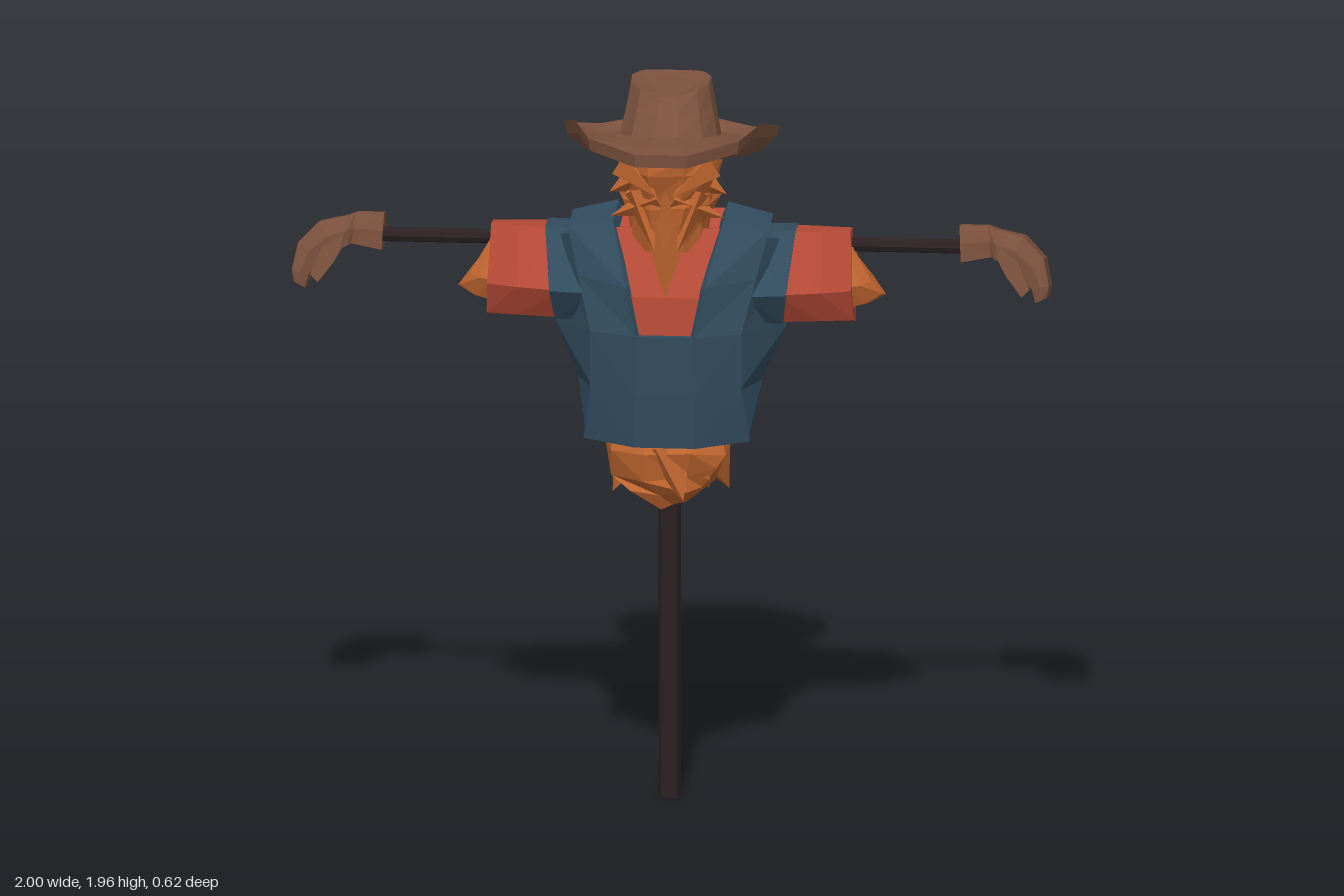
import * as THREE from 'three';

const mat = (name, color) =>
  new THREE.MeshStandardMaterial({ name, color, flatShading: true, side: THREE.DoubleSide });

let seed = 7;
const rnd = () => (seed = (seed * 16807) % 2147483647) / 2147483647;
const jit = (a) => (rnd() - 0.5) * 2 * a;

// Skin a list of equal-length cross-sections, cap both ends, and face it outward
function loft(rings) {
  const tris = [];
  const n = rings[0].length;
  for (let i = 0; i < rings.length - 1; i++) {
    for (let j = 0; j < n; j++) {
      const k = (j + 1) % n;
      const a = rings[i][j], b = rings[i][k], c = rings[i + 1][k], d = rings[i + 1][j];
      tris.push([a, b, c], [a, c, d]);
    }
  }
  const cap = (ring, flip) => {
    const mid = [0, 1, 2].map((c) => ring.reduce((s, p) => s + p[c], 0) / n);
    ring.forEach((p, j) => {
      const q = ring[(j + 1) % n];
      tris.push(flip ? [q, p, mid] : [p, q, mid]);
    });
  };
  cap(rings[0], true);
  cap(rings[rings.length - 1], false);
  const v = (p) => new THREE.Vector3(...p);
  const volume = tris.reduce((s, [a, b, c]) => s + v(a).dot(v(b).cross(v(c))), 0);
  if (volume < 0) tris.forEach((t) => t.reverse());
  const g = new THREE.BufferGeometry();
  g.setAttribute('position', new THREE.Float32BufferAttribute(tris.flat(2), 3));
  g.computeVertexNormals();
  return g;
}

// Elliptical section at height y, optionally ragged
const oval = (y, rx, rz, cz, n, rough = 0) =>
  Array.from({ length: n }, (_, i) => {
    const a = ((i + 0.5) / n) * Math.PI * 2;
    return [Math.sin(a) * rx + jit(rough), y + jit(rough), cz + Math.cos(a) * rz + jit(rough)];
  });

export function createModel() {
  const root = new THREE.Group();
  root.name = 'scarecrow';
  const leather = mat('leather brown', 0x7c523e);
  const straw = mat('straw orange', 0xc06630);
  const shirt = mat('shirt red', 0xb64a36);
  const denim = mat('denim blue', 0x324d5f);
  const wood = mat('dark wood', 0x2b2123);

  const add = (name, geo, m) => {
    const mesh = new THREE.Mesh(geo, m);
    mesh.name = name;
    root.add(mesh);
    return mesh;
  };

  // Straw tuft: a four-sided spike from a to b
  const tuft = (name, a, b, r) => {
    const A = new THREE.Vector3(...a), B = new THREE.Vector3(...b);
    const dir = B.clone().sub(A);
    const mesh = add(name, new THREE.ConeGeometry(r, dir.length(), 4), straw);
    mesh.position.copy(A).addScaledVector(dir, 0.5);
    mesh.quaternion.setFromUnitVectors(new THREE.Vector3(0, 1, 0), dir.normalize());
  };

  // Wooden cross
  add('pole', new THREE.CylinderGeometry(0.03, 0.03, 1.5, 8), wood).position.y = 0.75;
  const bar = add('crossbar', new THREE.CylinderGeometry(0.02, 0.02, 1.7, 8), wood);
  bar.rotation.z = Math.PI / 2;
  bar.position.set(0, 1.5, -0.08);

  // Torso levels: front inner edge, front strap edge, side, back strap edge, back inner edge
  const levels = [
    [[0.08, 1.0, 0.165], [0.22, 1.005, 0.1], [0.22, 0.985, -0.01], [0.19, 0.97, -0.12], [0.07, 0.97, -0.15]],
    [[0.08, 1.15, 0.18], [0.2, 1.15, 0.13], [0.25, 1.14, -0.02], [0.2, 1.16, -0.14], [0.07, 1.18, -0.18]],
    [[0.075, 1.31, 0.188], [0.2, 1.31, 0.14], [0.315, 1.285, -0.04], [0.21, 1.34, -0.16], [0.075, 1.38, -0.2]],
    [[0.105, 1.44, 0.17], [0.235, 1.45, 0.1], [0.315, 1.44, -0.04], [0.23, 1.48, -0.17], [0.11, 1.49, -0.21]],
    [[0.145, 1.59, 0.07], [0.265, 1.57, 0.05], [0.32, 1.54, -0.04], [0.265, 1.57, -0.11], [0.145, 1.595, -0.13]],
  ];
  const inset = (p, k) => [p[0] * k, p[1], -0.02 + (p[2] + 0.02) * k];
  const flip = (p, s) => [p[0] * s, p[1], p[2]];

  // Red shirt body, seen only between the straps
  add('shirt', loft(levels.slice(2).map((l, i) => {
    const half = l.map((p, j) => inset(p, j % 4 === 0 ? 0.93 : 0.82))
      .map((p) => [p[0], p[1] - (i === 2 ? 0.015 : 0.03), p[2]]);
    return [...half, ...half.map((p) => flip(p, -1)).reverse()];
  })), shirt);

  // Central bib panels, front and back, up to the neckline
  for (const [name, c] of [['frontBib', 0], ['backBib', 4]]) {
    add(name, loft(levels.slice(0, 3).map((l) => {
      const o = l[c], n = inset(o, 0.88);
      return [o, flip(o, -1), flip(n, -1), n];
    })), denim);
  }

  for (const s of [1, -1]) {
    const side = s > 0 ? 'left' : 'right';
    const m = (p) => flip(p, s);

    // Strap running from the front hem over the shoulder to the back hem
    const path = [
      ...levels.map((l) => [l[0], l[1]]),
      ...levels.slice().reverse().map((l) => [l[4], l[3]]),
    ];
    add(side + 'Strap', loft(path.map(([a, b]) => {
      const thick = (p) => {
        const q = inset(p, 0.9);
        return [q[0], p[1] > 1.55 ? p[1] - 0.03 : p[1], q[2]];
      };
      return [a, b, thick(b), thick(a)].map(m);
    })), denim);

    // Side of the overalls
    add(side + 'SidePanel', loft(levels.map((l, i) =>
      [l[1], l[2], l[3]].map((p) => {
        const q = inset(p, 0.97);
        return m([q[0], i === 4 ? p[1] - 0.02 : p[1], q[2]]);
      }))), denim);

    // Six-sided arm section: height factor, depth factor, outward slant towards the bottom
    const arm = (x, ky, kz, slant = 0) =>
      [[1.55, -0.02], [1.4, 0.08], [1.31, 0.03], [1.285, -0.09], [1.4, -0.15], [1.54, -0.13]]
        .map(([y, z]) => m([x + (1.42 - y) * slant, 1.42 + (y - 1.42) * ky, -0.07 + (z + 0.07) * kz]));
    add(side + 'Armhole', loft([arm(0.2, 0.95, 1.15), arm(0.315, 1.0, 1.02, -0.12)]), denim);
    add(side + 'Sleeve', loft([arm(0.28, 0.97, 1.0), arm(0.4, 0.97, 0.82), arm(0.48, 0.98, 0.62, 0.04)]), shirt);

    // Straw poking out of the sleeve
    add(side + 'SleeveStuffing',
      loft([arm(0.46, 0.72, 0.55), arm(0.5, 0.6, 0.45, 0.15), arm(0.525, 0.4, 0.25, 0.3)]), straw);
    for (let i = 0; i < 3; i++) {
      const y = 1.45 - i * 0.035;
      tuft(side + 'SleeveStraw', m([0.44, y + 0.01, -0.07 + jit(0.03)]),
        m([0.51 + i * 0.015, y - 0.015, -0.07 + jit(0.03)]), 0.05);
    }

    // Glove: [x top, y top, x bottom, y bottom, half depth], rolled slightly about the arm
    const roll = ([x, y, z]) => m([x, y + 0.25 * (z + 0.09), z - 0.25 * (y - 1.46)]);
    const glove = [
      [0.76, 1.55, 0.765, 1.455, 0.05], [0.835, 1.55, 0.845, 1.47, 0.05],
      [0.86, 1.54, 0.855, 1.465, 0.065], [0.93, 1.525, 0.885, 1.45, 0.075],
      [0.985, 1.47, 0.93, 1.42, 0.07], [1.0, 1.4, 0.955, 1.39, 0.068], [0.995, 1.37, 0.965, 1.355, 0.06],
    ];
    add(side + 'Glove', loft(glove.map(([x1, y1, x2, y2, d]) => [
      [x1, y1, -0.09 + d * 0.85], [(x1 + x2) / 2, (y1 + y2) / 2, -0.09 + d], [x2, y2, -0.09 + d * 0.85],
      [x2, y2, -0.09 - d * 0.85], [(x1 + x2) / 2, (y1 + y2) / 2, -0.09 - d], [x1, y1, -0.09 - d * 0.85],
    ].map(roll))), leather);
    const thumb = [[0.86, 1.5, 0.87, 1.455], [0.92, 1.46, 0.89, 1.42], [0.95, 1.39, 0.93, 1.37]];
    add(side + 'Thumb', loft(thumb.map(([x1, y1, x2, y2]) => [
      [x1, y1, -0.01], [x2, y2, -0.01], [x2, y2, -0.05], [x1, y1, -0.05],
    ].map(roll))), leather);

    // Face straw: brow, cheek, moustache, beard
    const face = [
      [[0.11, 1.76, 0.1], [0.02, 1.69, 0.17], 0.045], [[0.05, 1.73, 0.07], [0.155, 1.67, 0.06], 0.06],
      [[0.01, 1.67, 0.11], [0.15, 1.61, 0.08], 0.05], [[0.07, 1.68, 0.08], [0.03, 1.53, 0.14], 0.055],
    ];
    face.forEach(([a, b, r]) => tuft(side + 'FaceStraw', m(a), m(b), r));
  }

  // Straw head and the wisps in the collar
  add('head', loft([
    oval(1.52, 0.1, 0.1, 0.02, 9), oval(1.6, 0.11, 0.125, 0.015, 9, 0.006),
    oval(1.65, 0.13, 0.135, 0.015, 9, 0.008), oval(1.675, 0.118, 0.125, 0.015, 9, 0.008),
    oval(1.74, 0.14, 0.155, 0.02, 9, 0.006), oval(1.79, 0.135, 0.155, 0.02, 9),
  ]), straw);
  tuft('chestStraw', [0, 1.64, 0.08], [0, 1.41, 0.165], 0.08);
  tuft('chinStraw', [0, 1.7, 0.09], [0, 1.54, 0.165], 0.06);

  // Straw spilling from the waist
  add('waistStraw', loft([
    oval(1.04, 0.16, 0.12, 0, 9), oval(0.97, 0.165, 0.15, 0, 9, 0.012),
    oval(0.915, 0.165, 0.155, 0, 9, 0.022), oval(0.86, 0.11, 0.125, 0.01, 9, 0.02),
    oval(0.815, 0.05, 0.065, 0.02, 9, 0.01),
  ]), straw);
  for (let i = 0; i < 11; i++) {
    const a = (i / 11) * Math.PI * 2, e = 0.135 + jit(0.04);
    tuft('waistTuft', [Math.sin(a) * 0.09, 0.97, Math.cos(a) * 0.09],
      [Math.sin(a + 0.3) * e, 0.865 + jit(0.04), Math.cos(a + 0.3) * e], 0.075);
  }

  // Hat brim: half outline mirrored, dipping to the back and curled up around the rim
  const edge = [[0.07, 1.845, 0.31], [0.2, 1.86, 0.21], [0.245, 1.87, 0.08],
    [0.285, 1.825, -0.07], [0.26, 1.785, -0.19], [0.2, 1.77, -0.24], [0.1, 1.772, -0.305]];
  const outline = [...edge, ...edge.map((p) => flip(p, -1)).reverse()];
  const hatRing = (rx, rz, y, tilt, cz) => outline.map(([x, , z]) => {
    const a = Math.atan2(x, z);
    const zz = cz + Math.cos(a) * rz;
    return [Math.sin(a) * rx, y + tilt * zz, zz];
  });
  const flat = (k, y) => outline.map(([x, , z]) => [x * k, y + 0.2 * z * k, z * k]);
  add('hatBrim', loft([
    hatRing(0.12, 0.13, 1.78, 0.2, -0.01),
    flat(0.8, 1.765),
    outline.map(([x, y, z]) => [x * 0.97, y - 0.035, z * 0.99]),
    outline,
    flat(0.8, 1.797),
    hatRing(0.135, 0.165, 1.815, 0.2, -0.01),
  ]), leather);

  // Hat crown, lower at the front, with a shallow dent
  add('hatCrown', loft([
    hatRing(0.138, 0.165, 1.805, 0.2, -0.01),
    hatRing(0.12, 0.135, 1.89, 0.05, -0.03),
    hatRing(0.108, 0.112, 1.935, -0.05, -0.04).map(([x, y, z]) => [x, y + Math.abs(x) * 0.17, z]),
    hatRing(0.06, 0.07, 1.938, -0.05, -0.04),
  ]), leather);

  return root;
}
